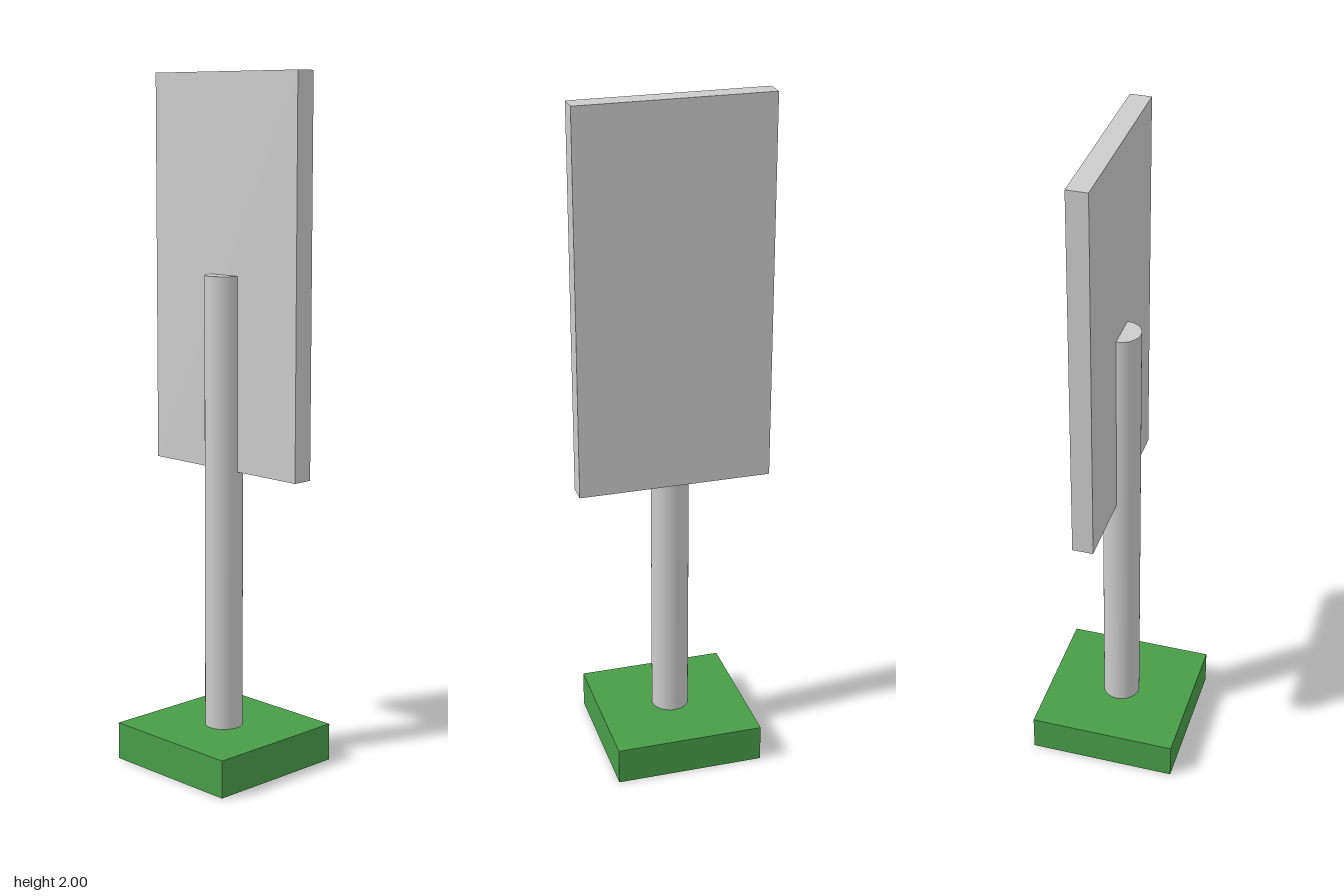
import * as THREE from 'three';

const grey = new THREE.MeshStandardMaterial({ color: 0xcccccc });
const green = new THREE.MeshStandardMaterial({ color: 0x489d48 });

function addPart(group, name, geometry, material, x, y, z) {
  const mesh = new THREE.Mesh(geometry, material);
  mesh.name = name;
  mesh.position.set(x, y, z);
  group.add(mesh);
}

export function createModel() {
  const group = new THREE.Group();
  group.name = 'signPost';

  const baseHeight = 0.11;
  const poleTop = 1.435;
  const poleHeight = poleTop - baseHeight;
  const panelBottom = 0.875;
  const panelHeight = 2 - panelBottom;

  // Square foot
  addPart(group, 'base', new THREE.BoxGeometry(0.44, baseHeight, 0.44), green, 0, baseHeight / 2, 0);

  // Round pole, its upper half sunk into the panel
  addPart(group, 'pole', new THREE.CylinderGeometry(0.055, 0.055, poleHeight, 48), grey, 0, baseHeight + poleHeight / 2, 0);

  // Flat panel facing +x, its back on the pole's axis
  addPart(group, 'panel', new THREE.BoxGeometry(0.061, panelHeight, 0.566), grey, 0.0305, panelBottom + panelHeight / 2, 0);

  return group;
}
